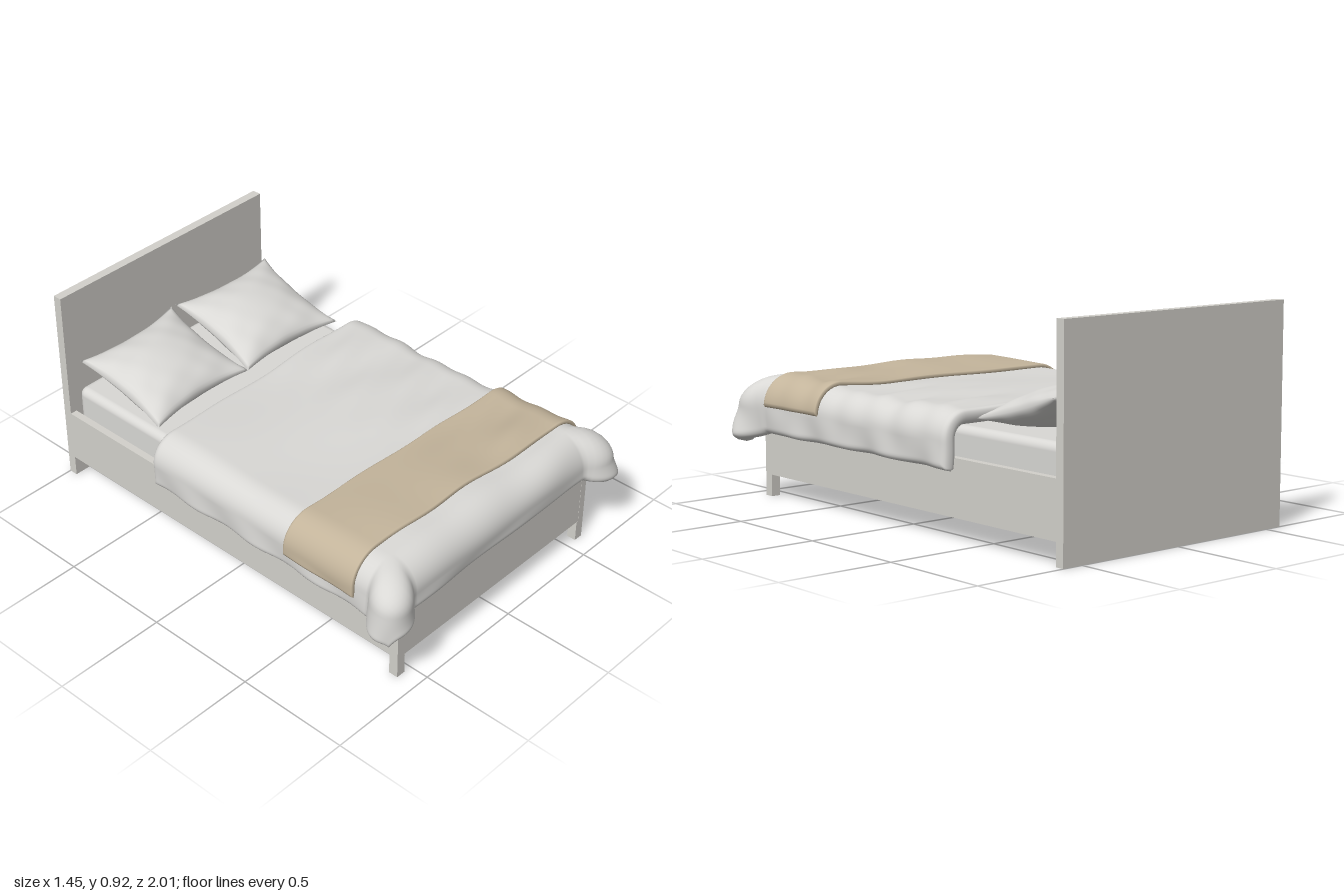
import * as THREE from 'three';
import { mergeVertices } from 'three/addons/utils/BufferGeometryUtils.js';
import { RoundedBoxGeometry } from 'three/addons/geometries/RoundedBoxGeometry.js';

const material = (name, color) => {
  const m = new THREE.MeshStandardMaterial({ color });
  m.name = name;
  return m;
};
const CX = 0.007; // bed centre line

// Closed, smooth cushion-like skin: fn(u, v, side) with u, v in -1..1 and side +1 (top) or -1 (bottom)
function skin(fn, nu, nv) {
  const pos = [], index = [], ring = 2 * nu;
  for (let j = 0; j <= nv; j++) {
    for (let i = 0; i < ring; i++) {
      const top = i <= nu;
      const u = top ? -1 + (2 * i) / nu : 3 - (2 * i) / nu;
      pos.push(...fn(u, -1 + (2 * j) / nv, top ? 1 : -1));
    }
  }
  for (let j = 0; j < nv; j++) {
    for (let i = 0; i < ring; i++) {
      const a = j * ring + i, c = j * ring + ((i + 1) % ring);
      index.push(a, a + ring, c, c, a + ring, c + ring);
    }
  }
  let geo = new THREE.BufferGeometry();
  geo.setAttribute('position', new THREE.Float32BufferAttribute(pos, 3));
  geo.setIndex(index);
  geo = mergeVertices(geo, 1e-5);
  geo.computeVertexNormals();
  return geo;
}

// Soft folds in the cloth, stronger on the +x half
function folds(s, t) {
  const right = THREE.MathUtils.smoothstep(s, -0.05, 0.4);
  const foot = THREE.MathUtils.smoothstep(t, 0.35, 0.8);
  return 0.018 * foot
    + 0.003 * Math.sin(7 * s + 4 * t) + 0.003 * Math.sin(9 * t - 5 * s + 1)
    + right * (0.005 * Math.sin(34 * t + 9 * s) + 0.004 * Math.sin(21 * t - 6 * s + 2))
    + foot * 0.003 * Math.sin(17 * s + 2);
}

// Lays a cloth point (s across, t along) over the mattress, off = distance from the cloth's middle layer
function drape(s, t, off) {
  const W = 0.535, F = 0.82, R = 0.085, Y = 0.402;
  const ex = Math.max(0, Math.abs(s) - W), ez = Math.max(0, t - F);
  let d = Math.pow(ex ** 6 + ez ** 6, 1 / 6);
  const len = Math.hypot(ex, ez) || 1;
  const corner = d > 0 ? (2 * ex * ez) / (len * len) : 0;
  d *= 1 + 0.12 * corner;
  const a = Math.min(d / R, Math.PI / 2);
  const hang = Math.max(0, d - R * Math.PI / 2);
  const r = R + off + folds(s, t) * (1 - 0.6 * a / (Math.PI / 2));
  const ripple = hang * 0.07 * Math.sin(19 * t + 11 * s);
  const out = (r * Math.sin(a) + ripple) * (1 + 0.75 * corner) + 0.12 * corner * hang;
  return [
    CX + Math.sign(s) * (Math.min(Math.abs(s), W) + (out * ex) / len),
    Y + r * Math.cos(a) - hang,
    Math.min(t, F) + (out * ez) / len,
  ];
}

// Cloth sheet with rounded rim; skew shifts its z along x
function sheet({ s0, s1, t0, t1, inner, outer, skew, nu, nv }) {
  const half = (outer - inner) / 2, mid = (outer + inner) / 2;
  const spread = (x) => 0.4 * x + 0.6 * Math.sin((x * Math.PI) / 2);
  return skin((u, v, side) => {
    const s = THREE.MathUtils.mapLinear(spread(u), -1, 1, s0, s1);
    const t = THREE.MathUtils.mapLinear(spread(v), -1, 1, t0, t1);
    const edge = Math.min(s - s0, s1 - s, t - t0, t1 - t) / half;
    const k = 1 - Math.min(1, Math.max(0, edge));
    const wave = 0.004 * Math.sin(13 * s + 5 * v);
    return drape(s, t + skew * s + wave, mid + side * half * Math.sqrt(1 - k * k));
  }, nu, nv);
}

// Pillow with drawn-out corners and a few creases
function pillowGeometry() {
  return skin((u, v, side) => {
    const x = 0.272 * u * (1 - 0.1 * (1 - v * v));
    const z = 0.238 * v * (1 - 0.13 * (1 - u * u));
    const puff = Math.pow((1 - u * u) * (1 - v * v), 0.55);
    const rim = u * u * v * v;
    const crease = 1 + 0.12 * Math.sin(9 * u + 2 * v) * Math.sin(8 * v - 3 * u) * (u * u + v * v) * 0.6;
    return [x, side * 0.082 * puff * crease + 0.008 * rim, z];
  }, 40, 40);
}

export function createModel() {
  const group = new THREE.Group();
  const frame = material('frame paint', 0xd3d1cb);
  const linen = material('white linen', 0xd9d8d5);
  const wool = material('beige wool', 0xc3b49b);
  const metal = material('black metal', 0x2a2a2a);

  const add = (name, geo, mat, x, y, z) => {
    const mesh = new THREE.Mesh(geo, mat);
    mesh.name = name;
    mesh.position.set(x, y, z);
    group.add(mesh);
    return mesh;
  };
  // Box given by its low and high corners
  const box = (name, mat, x0, x1, y0, y1, z0, z1) =>
    add(name, new THREE.BoxGeometry(x1 - x0, y1 - y0, z1 - z0), mat,
      (x0 + x1) / 2, (y0 + y1) / 2, (z0 + z1) / 2);

  // Bed frame
  box('headboard', frame, -0.58, 0.594, 0, 0.915, -1, -0.96);
  box('footPanel', frame, -0.548, 0.562, 0.095, 0.33, 0.88, 0.914);
  box('mattressBase', frame, -0.548, 0.562, 0.22, 0.245, -0.96, 0.88);
  for (const side of [-1, 1]) {
    const outer = CX + side * 0.587, rail = CX + side * 0.555, leg = CX + side * 0.545;
    box('sideRail', frame, Math.min(outer, rail), Math.max(outer, rail), 0.095, 0.33, -0.96, 0.915);
    box('frontLeg', frame, Math.min(outer, leg), Math.max(outer, leg), 0, 0.095, 0.873, 0.915);
  }
  add('centreLeg', new THREE.CylinderGeometry(0.018, 0.018, 0.22, 24), metal, CX, 0.11, -0.04);

  // Mattress
  add('mattress', new RoundedBoxGeometry(1.085, 0.205, 1.82, 4, 0.035), linen, CX, 0.3475, -0.043);

  // Duvet and folded blanket across the foot
  add('duvet', sheet({ s0: -0.785, s1: 0.785, t0: -0.39, t1: 1.03,
    inner: -0.03, outer: 0.03, skew: -0.012, nu: 110, nv: 110 }), linen, 0, 0, 0);
  add('blanket', sheet({ s0: -0.71, s1: 0.665, t0: 0.405, t1: 0.772,
    inner: 0.027, outer: 0.046, skew: 0.035, nu: 100, nv: 50 }), wool, 0, 0, 0);

  // Pillows leaning toward the headboard
  for (const side of [-1, 1]) {
    const pillow = add('pillow', pillowGeometry(), linen, CX + side * 0.276, 0.546, -0.688);
    pillow.rotation.set(0.27, side * -0.03, 0);
  }
  return group;
}
